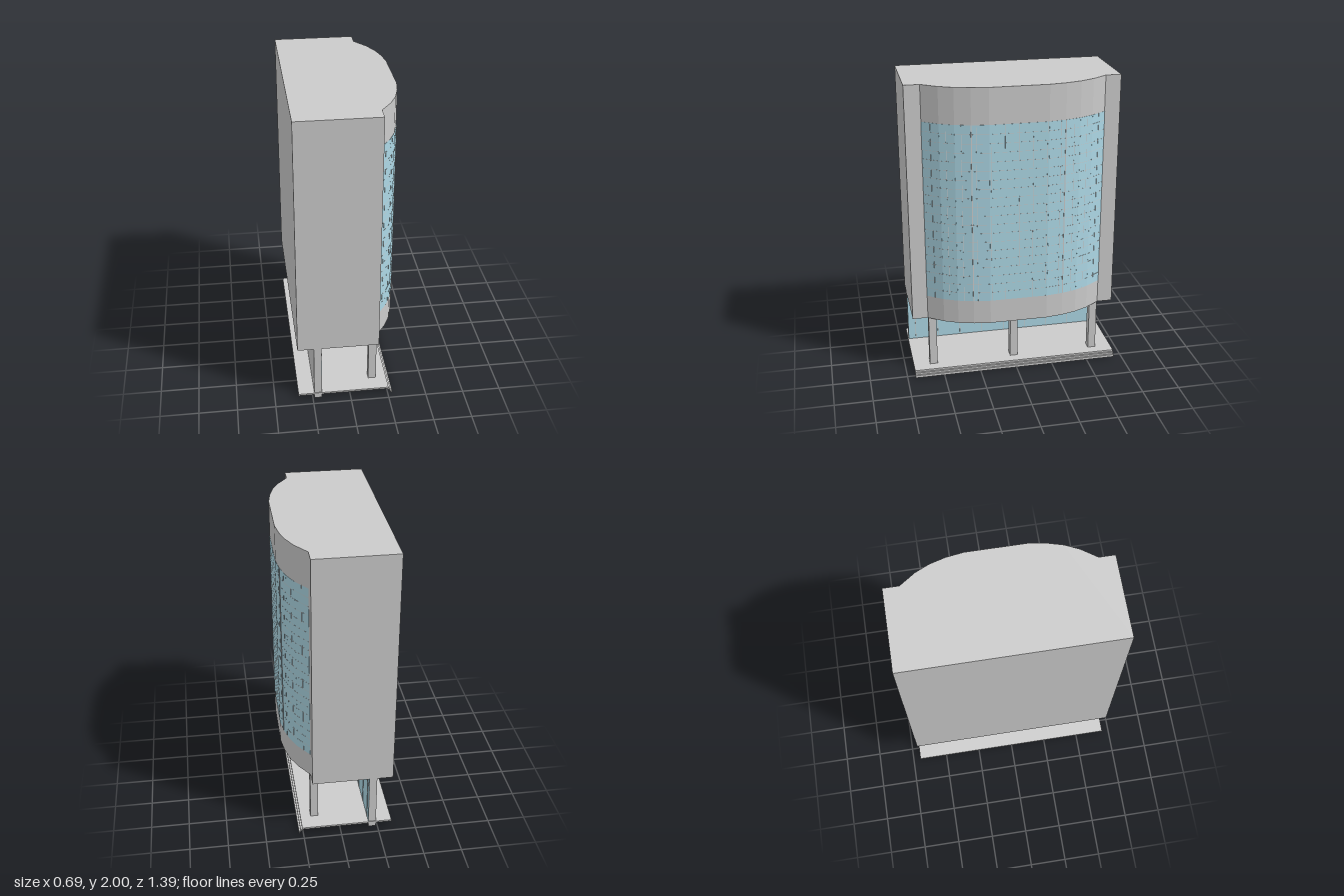
import * as THREE from 'three';

const grey = new THREE.MeshStandardMaterial({ color: 0xcccccc, flatShading: true });
const blue = new THREE.MeshStandardMaterial({ color: 0xadd8e6, flatShading: true });

// Bowed facade in plan as [x, z], from one wing to the other
const half = [[0.185, 0.59], [0.255, 0.49], [0.297, 0.4], [0.325, 0.3], [0.341, 0.19]];
const bow = [...half, ...half.slice().reverse().map(([x, z]) => [x, -z])];

function add(parent, name, geometry, material, x = 0, y = 0, z = 0) {
  const mesh = new THREE.Mesh(geometry, material);
  mesh.name = name;
  mesh.position.set(x, y, z);
  parent.add(mesh);
  return mesh;
}

function box(parent, name, x0, x1, y0, y1, z0, z1, material = grey) {
  return add(parent, name, new THREE.BoxGeometry(x1 - x0, y1 - y0, z1 - z0), material,
    (x0 + x1) / 2, (y0 + y1) / 2, (z0 + z1) / 2);
}

// Thin upright panel standing on the plan line a-b
function panel(parent, name, a, b, y0, y1, thickness, material) {
  const dx = b[0] - a[0], dz = b[1] - a[1];
  const mesh = add(parent, name, new THREE.BoxGeometry(thickness, y1 - y0, Math.hypot(dx, dz)),
    material, (a[0] + b[0]) / 2, (y0 + y1) / 2, (a[1] + b[1]) / 2);
  mesh.rotation.y = Math.atan2(dx, dz);
}

// x of the bowed facade at a given z
function bowX(z) {
  for (let i = 0; i < bow.length - 1; i++) {
    const [x0, z0] = bow[i], [x1, z1] = bow[i + 1];
    if (z <= z0 && z >= z1) return x0 + (x1 - x0) * (z0 - z) / (z0 - z1);
  }
  return 0.185;
}

function group(parent, name) {
  const g = new THREE.Group();
  g.name = name;
  parent.add(g);
  return g;
}

export function createModel() {
  const model = new THREE.Group();
  model.name = 'officeBuilding';

  // Tower block: plan outline raised from y = 0.4 to 2
  const plan = [[-0.345, 0.692], [0.185, 0.692], ...bow, [0.185, -0.692], [-0.345, -0.692]];
  const outline = new THREE.Shape(plan.map(([x, z]) => new THREE.Vector2(x, -z)));
  const block = new THREE.ExtrudeGeometry(outline, { depth: 1.6, bevelEnabled: false });
  block.rotateX(-Math.PI / 2);
  add(model, 'towerBlock', block, grey, 0, 0.4, 0);

  // Curtain wall following the bow, with fine floor lines
  const y0 = 0.565, y1 = 1.765, rows = 20;
  const curtain = group(model, 'curtainWall');
  const lines = group(model, 'curtainWallMullions');
  for (let i = 0; i < bow.length - 1; i++) {
    panel(curtain, 'glassPanel', bow[i], bow[i + 1], y0, y1, 0.003, blue);
    for (let r = 1; r < rows; r++) {
      const y = y0 + (y1 - y0) * r / rows;
      panel(lines, 'floorLine', bow[i], bow[i + 1], y - 0.001, y + 0.001, 0.004, grey);
    }
  }
  for (let i = -6; i <= 6; i++) {
    const z = i * 0.09, x = bowX(z);
    box(lines, 'verticalMullion', x - 0.002, x + 0.002, y0, y1, z - 0.001, z + 0.001);
  }
  for (const z of [-0.3, 0.3]) {
    box(lines, 'mainMullion', 0.322, 0.329, y0, y1, z - 0.003, z + 0.003);
  }

  // Lobby: long back wall, glazed on the side facing the columns
  const lobby = group(model, 'lobby');
  box(lobby, 'lobbyWall', -0.24, -0.19, 0, 0.4, -0.692, 0.692);
  box(lobby, 'lobbyGlass', -0.191, -0.189, 0.043, 0.4, -0.692, 0.692, blue);
  for (let i = -4; i <= 4; i++) {
    const z = i * 0.16;
    box(lobby, 'lobbyMullion', -0.19, -0.186, 0.043, 0.4, z - 0.002, z + 0.002);
  }
  box(lobby, 'lobbyTransom', -0.19, -0.186, 0.338, 0.342, -0.692, 0.692);

  // Front columns
  for (const z of [-0.56, 0, 0.56]) {
    box(model, 'column', 0.135, 0.187, 0, 0.4, z - 0.026, z + 0.026);
  }

  // Plinth slab with thin folded steps along its front edge
  const profile = [[-0.345, 0.031], [0.248, 0.031], [0.256, 0.02], [0.266, 0.02], [0.266, 0.008],
    [0.271, 0.008], [0.271, 0], [0.279, 0], [0.279, 0.017], [0.268, 0.017], [0.268, 0.03],
    [0.256, 0.03], [0.256, 0.043], [-0.345, 0.043]];
  const steps = new THREE.Shape(profile.map(([x, y]) => new THREE.Vector2(x, y)));
  add(model, 'plinthAndSteps', new THREE.ExtrudeGeometry(steps, { depth: 1.394, bevelEnabled: false }),
    grey, 0, 0, -0.697);

  return model;
}
